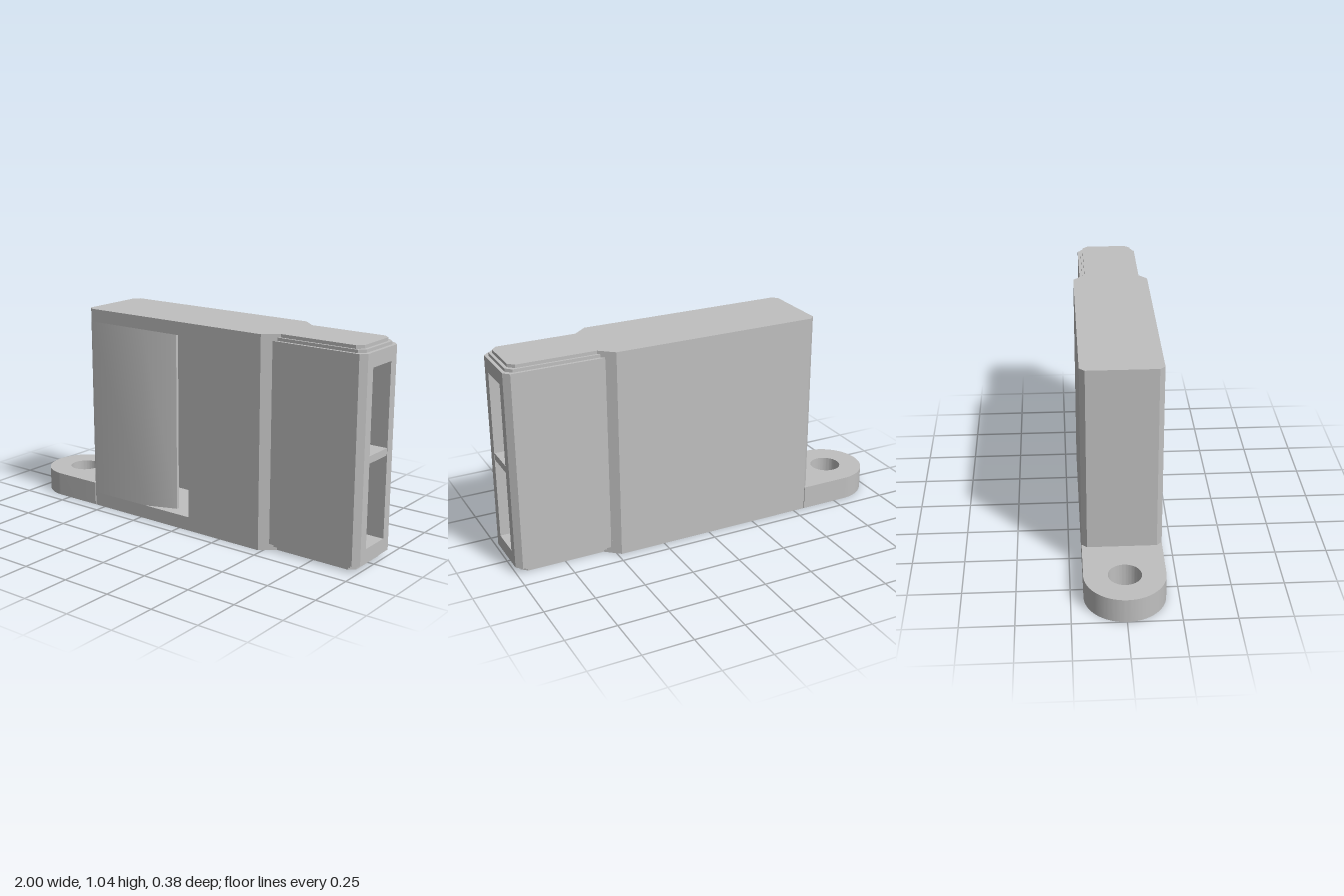
import * as THREE from 'three';
import { toCreasedNormals } from 'three/addons/utils/BufferGeometryUtils.js';

export function createModel() {
  const model = new THREE.Group();
  model.name = 'whistle';
  const grey = new THREE.MeshStandardMaterial({ color: 0xc0c0c0 });
  grey.name = 'plain grey';
  const H = 1.045;

  // Extrude a plan shape (drawn as x, -z) upward from y0 to y1
  function slab(name, shape, y0, y1) {
    const geo = new THREE.ExtrudeGeometry(shape, { depth: y1 - y0, bevelEnabled: false, curveSegments: 40 });
    geo.rotateX(-Math.PI / 2).translate(0, y0, 0);
    const mesh = new THREE.Mesh(toCreasedNormals(geo, 0.4), grey);
    mesh.name = name;
    model.add(mesh);
  }
  const plan = (points) => new THREE.Shape(points.map(([x, z]) => new THREE.Vector2(x, -z)));
  // Mirror half an outline across z = 0
  const mirrored = (half) => plan([...half, ...half.slice().reverse().map(([x, z]) => [x, -z])]);

  // Body floor and roof
  const outline = mirrored([[-0.583, 0.165], [-0.558, 0.19], [0.48, 0.19], [0.55, 0.13]]);
  slab('bodyFloor', outline, 0, 0.07);
  slab('bodyRoof', outline, 0.98, H);

  // Back and end walls, with the slanted lip that reaches into the slot
  slab('chamberWallAndLip', plan([
    [-0.22, 0.19], [-0.558, 0.19], [-0.583, 0.165], [-0.583, -0.165], [-0.558, -0.19],
    [0.48, -0.19], [0.52, -0.155], [0.55, -0.13], [0.55, -0.08], [0.06, -0.08], [0.06, -0.13],
    [-0.5, -0.13], [-0.5, 0.05], [-0.22, 0.05], [-0.06, 0.115], [-0.06, 0.13],
  ]), 0.07, 0.98);

  // Front wall between slot and mouthpiece
  slab('frontWall', plan([
    [0.06, 0.19], [0.48, 0.19], [0.55, 0.13], [0.55, 0.08], [0.06, 0.08],
  ]), 0.07, 0.98);

  // Floor and roof of the air channel inside the body
  const channel = mirrored([[0.06, 0.08], [0.55, 0.08]]);
  slab('channelFloor', channel, 0.07, 0.1);
  slab('channelRoof', channel, 0.945, 0.98);

  // Stepped mouthpiece ends, the same at the bottom and the top
  const tiers = [
    [0.55, 0.968, 0.13, 0, 0.016],
    [0.52, 0.983, 0.141, 0.016, 0.031],
    [0.52, 1, 0.155, 0.031, 0.1],
  ];
  for (const [x0, x1, z, y0, y1] of tiers) {
    const tier = mirrored([[x0, z], [x1 - 0.028, z], [x1, z - 0.028]]);
    slab('mouthpieceBottom', tier, y0, y1);
    slab('mouthpieceTop', tier, H - y1, H - y0);
  }

  // Mouthpiece side walls around the open channel
  for (const s of [1, -1]) {
    slab('mouthpieceSide', plan([
      [0.52, 0.155 * s], [0.972, 0.155 * s], [1, 0.127 * s], [1, 0.08 * s], [0.52, 0.08 * s],
    ]), 0.1, 0.945);
  }

  // Shelf dividing the mouth opening
  slab('mouthDivider', mirrored([[0.5, 0.08], [0.998, 0.08]]), 0.505, 0.54);

  // Lug with a ring hole
  const lug = new THREE.Shape();
  lug.moveTo(-0.563, -0.19);
  lug.lineTo(-0.563, 0.19);
  lug.lineTo(-0.81, 0.19);
  lug.absarc(-0.81, 0, 0.19, Math.PI / 2, Math.PI * 1.5, false);
  lug.closePath();
  const hole = new THREE.Path();
  hole.absarc(-0.81, 0, 0.078, 0, Math.PI * 2, true);
  lug.holes.push(hole);
  slab('ringLug', lug, 0, 0.12);

  return model;
}
